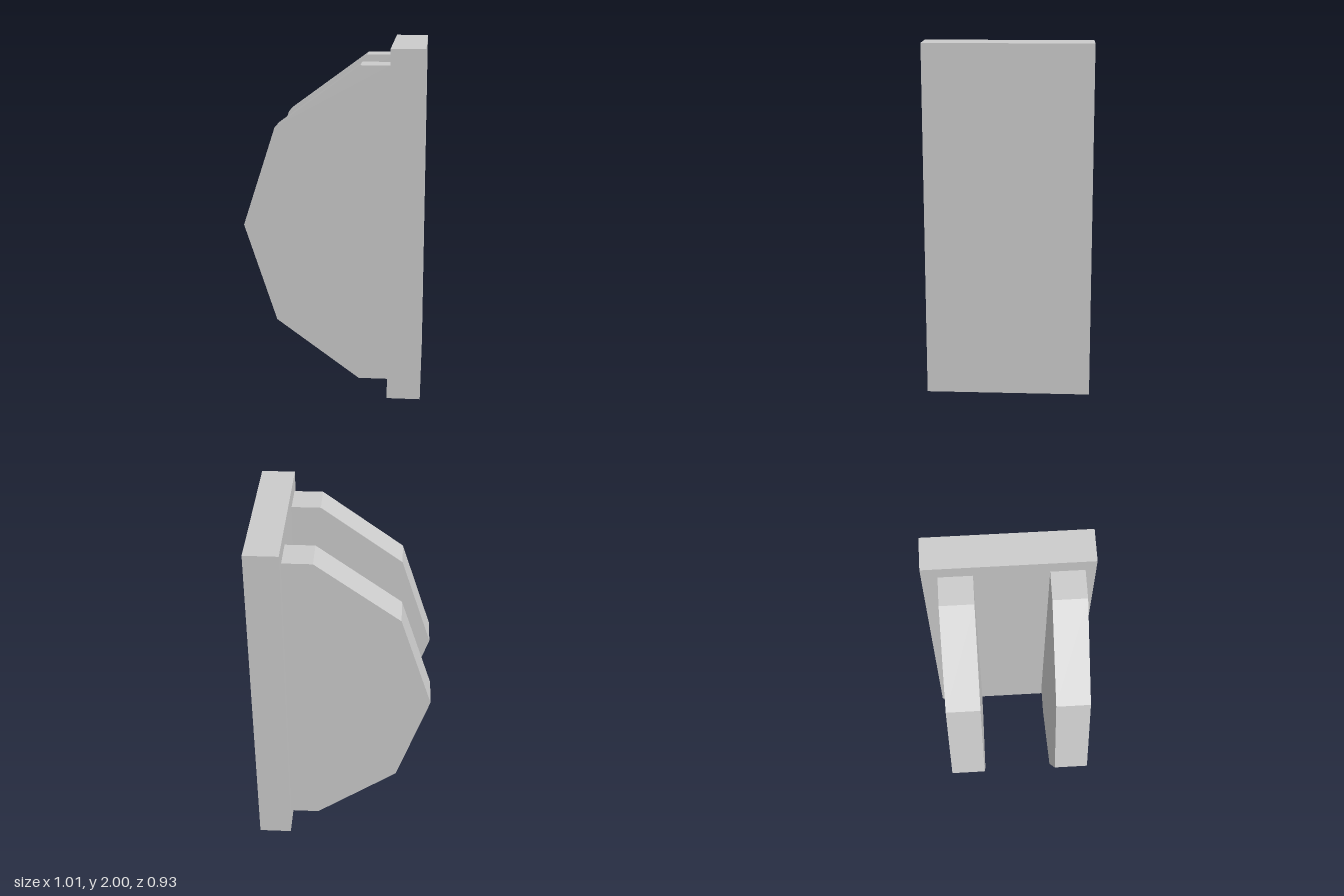
import * as THREE from 'three';

export function createModel() {
  const group = new THREE.Group();
  const material = new THREE.MeshStandardMaterial({ color: 0xcccccc, flatShading: true });

  // Upright mounting plate
  const plate = new THREE.Mesh(new THREE.BoxGeometry(0.19, 2, 0.93), material);
  plate.name = 'backPlate';
  plate.position.set(0.409, 1, 0);
  group.add(plate);

  // Faceted half-round fin outline, mirrored about y = 1
  const lower = [[0.314, 0.095], [0.148, 0.095], [-0.324, 0.441]];
  const upper = lower.map(([x, y]) => [x, 2 - y]).reverse();
  const outline = [...lower, [-0.506, 1], ...upper].map(([x, y]) => new THREE.Vector2(x, y));
  const finGeometry = new THREE.ExtrudeGeometry(new THREE.Shape(outline), {
    depth: 0.188,
    bevelEnabled: false,
  });

  // Two parallel fins standing out from the plate
  for (const [name, z] of [['rearFin', -0.377], ['frontFin', 0.22]]) {
    const fin = new THREE.Mesh(finGeometry, material);
    fin.name = name;
    fin.position.z = z;
    group.add(fin);
  }

  return group;
}
